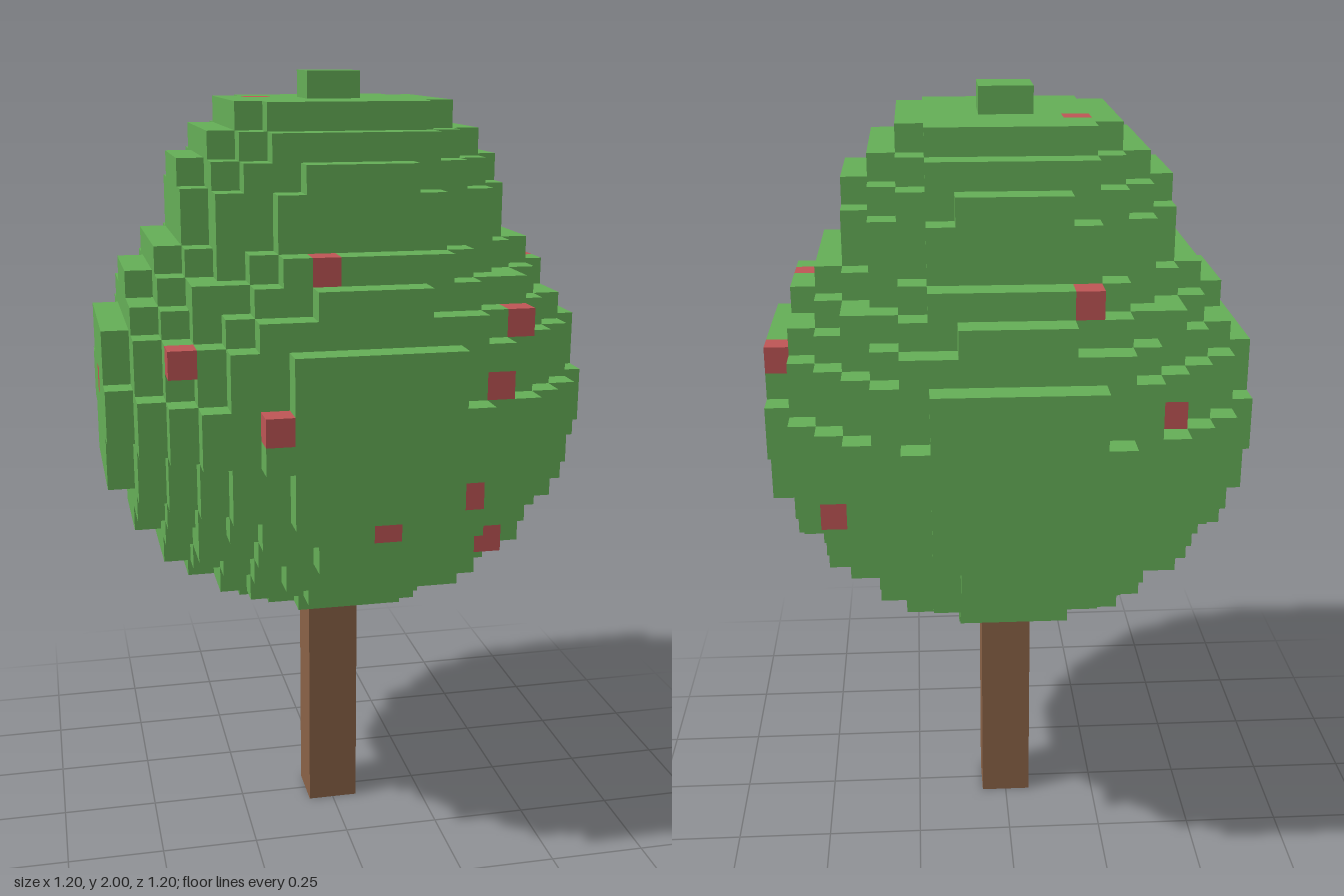
import * as THREE from 'three';

const S = 2 / 30; // edge of one block
const leafGreen = new THREE.MeshStandardMaterial({ name: 'leafGreen', color: 0x66b058 });
const fruitRed = new THREE.MeshStandardMaterial({ name: 'fruitRed', color: 0xc05656 });
const barkBrown = new THREE.MeshStandardMaterial({ name: 'barkBrown', color: 0x8b6347 });

// Squared radius of the round crown tip, by row
const TIP = { 24: 41, 25: 41, 26: 33, 27: 27, 28: 19, 29: 1 };

// Fruit blocks: x, row, z (block indices; -1 is the first block left of centre)
const FRUIT = [
  [-2, 23, 6], [-7, 20, 6], [-4, 18, 8], [0, 14, 7], [3, 15, 7], [4, 13, 6],
  [4, 19, 7], [5, 21, 6], [7, 22, 0], [8, 20, -3], [7, 20, -4], [8, 18, -2],
  [8, 16, -2], [6, 15, -6], [-3, 28, -2], [-3, 23, -7], [-6, 19, -7], [-9, 18, -1],
];

const key = (c) => c.join();

// Squared radius of the crown at a row: wide squashed ball plus the tip
function radiusSquared(row) {
  const dy = row + 0.5 - 18;
  return Math.max(87.1 - 1.266 * dy * dy, TIP[row] ?? 0);
}

// Only the faces of the blocks that touch open air
function blockGeometry(cells, solid) {
  const pos = [];
  const nor = [];
  for (const c of cells) {
    for (let a = 0; a < 3; a++) {
      for (const side of [1, -1]) {
        const next = [...c];
        next[a] += side;
        if (solid.has(key(next))) continue;
        const u = (a + 1) % 3;
        const v = (a + 2) % 3;
        const quad = [[0, 0], [1, 0], [1, 1], [0, 1]].map(([i, j]) => {
          const p = [...c];
          p[a] += side > 0 ? 1 : 0;
          p[u] += i;
          p[v] += j;
          return p.map((n) => n * S);
        });
        const order = side > 0 ? [0, 1, 2, 0, 2, 3] : [0, 2, 1, 0, 3, 2];
        const n = [0, 0, 0];
        n[a] = side;
        for (const k of order) {
          pos.push(...quad[k]);
          nor.push(...n);
        }
      }
    }
  }
  const g = new THREE.BufferGeometry();
  g.setAttribute('position', new THREE.Float32BufferAttribute(pos, 3));
  g.setAttribute('normal', new THREE.Float32BufferAttribute(nor, 3));
  return g;
}

export function createModel() {
  const tree = new THREE.Group();
  tree.name = 'tree';
  const add = (name, geometry, material) => {
    const mesh = new THREE.Mesh(geometry, material);
    mesh.name = name;
    tree.add(mesh);
    return mesh;
  };

  // Trunk
  add('trunk', new THREE.BoxGeometry(2 * S, 10 * S, 2 * S), barkBrown).position.y = 5 * S;

  // Crown of leaf blocks, with fruit blocks set into it
  const fruitKeys = new Set(FRUIT.map(key));
  const solid = new Set(fruitKeys);
  const leaves = [];
  for (let y = 10; y < 30; y++) {
    const r2 = radiusSquared(y);
    for (let x = -9; x < 9; x++) {
      for (let z = -9; z < 9; z++) {
        if ((x + 0.5) ** 2 + (z + 0.5) ** 2 > r2) continue;
        const c = [x, y, z];
        solid.add(key(c));
        if (!fruitKeys.has(key(c))) leaves.push(c);
      }
    }
  }
  add('leaves', blockGeometry(leaves, solid), leafGreen);
  add('fruit', blockGeometry(FRUIT, solid), fruitRed);
  return tree;
}
